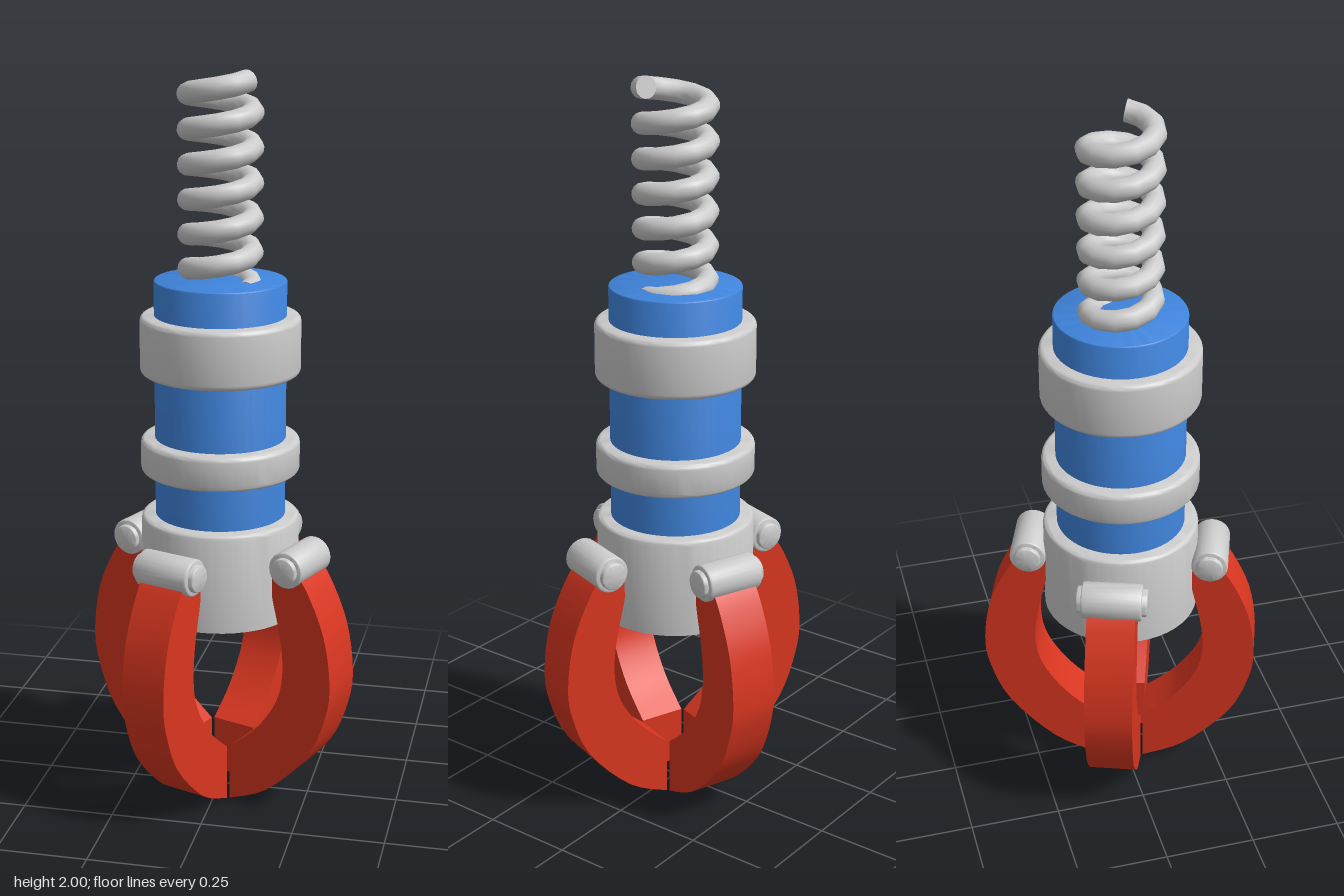
import * as THREE from 'three';
import { toCreasedNormals } from 'three/addons/utils/BufferGeometryUtils.js';

const grey = new THREE.MeshStandardMaterial({ color: 0xcccccc });
const blue = new THREE.MeshStandardMaterial({ color: 0x3f84dc });
const red = new THREE.MeshStandardMaterial({ color: 0xd93620 });

function addMesh(parent, name, geometry, material) {
  const mesh = new THREE.Mesh(geometry, material);
  mesh.name = name;
  parent.add(mesh);
  return mesh;
}

// Solid round part from y0 to y1 with rounded rims (bottom bevel b0, top bevel b1)
function drum(radius, y0, y1, b0, b1, sides = 48) {
  const points = [[0, y0]];
  const rim = (bevel, y, dir) => {
    for (let i = 0; i <= 4; i++) {
      const a = (i / 4) * Math.PI / 2;
      const t = dir > 0 ? a : Math.PI / 2 - a;
      points.push([radius - bevel * (1 - Math.cos(t)), y - dir * bevel * (1 - Math.sin(t))]);
    }
  };
  if (b0) rim(b0, y0, -1); else points.push([radius, y0]);
  if (b1) rim(b1, y1, 1); else points.push([radius, y1]);
  points.push([0, y1]);
  return toCreasedNormals(
    new THREE.LatheGeometry(points.map(([x, y]) => new THREE.Vector2(x, y)), sides), 0.6);
}

// Coil, rising while turning from the front round to the right
class Helix extends THREE.Curve {
  getPoint(t, target = new THREE.Vector3()) {
    const angle = 0.4 + (1 - t) * 6 * Math.PI * 2;
    return target.set(0.084 * Math.cos(angle), 1.43 + 0.541 * t, 0.084 * Math.sin(angle));
  }
}

function addSpring(parent) {
  const helix = new Helix();
  const spring = new THREE.Group();
  spring.name = 'spring';
  parent.add(spring);
  addMesh(spring, 'coil', new THREE.TubeGeometry(helix, 72, 0.029, 14), grey);
  for (const t of [0, 1]) {
    const end = addMesh(spring, 'coilEnd', new THREE.CircleGeometry(0.029, 14), grey);
    const p = helix.getPoint(t);
    const outward = helix.getTangent(t).multiplyScalar(t ? 1 : -1);
    end.position.copy(p);
    end.lookAt(p.clone().add(outward));
  }
}

// Curved claw: a thick crescent in the radial plane, extruded sideways
function clawGeometry() {
  const toVectors = (list) => list.map(([x, y]) => new THREE.Vector2(x, y));
  const outer = toVectors([[0.07, 0.002], [0.19, 0.06], [0.315, 0.19], [0.37, 0.32],
    [0.381, 0.42], [0.36, 0.55], [0.308, 0.665], [0.265, 0.72]]);
  const inner = toVectors([[0.19, 0.7], [0.205, 0.62], [0.228, 0.52], [0.237, 0.42],
    [0.218, 0.33], [0.155, 0.235], [0.07, 0.16]]);
  const outline = [...new THREE.SplineCurve(outer).getPoints(28),
    ...new THREE.SplineCurve(inner).getPoints(24)];
  const geometry = new THREE.ExtrudeGeometry(new THREE.Shape(outline),
    { depth: 0.13, bevelEnabled: false });
  geometry.translate(0, 0, -0.065);
  return toCreasedNormals(geometry, 0.5);
}

export function createModel() {
  const model = new THREE.Group();
  model.name = 'clawArm';

  // Central body, collars and the socket that carries the claws
  addMesh(model, 'body', drum(0.175, 0.7, 1.455, 0, 0.004), blue);
  addMesh(model, 'upperCollar', drum(0.213, 1.205, 1.362, 0.015, 0.015), grey);
  addMesh(model, 'lowerCollar', drum(0.213, 0.935, 1.03, 0.015, 0.015), grey);
  addMesh(model, 'clawSocket', drum(0.213, 0.545, 0.817, 0, 0.015), grey);
  addSpring(model);

  // Four claws, each on a hinge barrel with a narrower pin through it
  const claw = clawGeometry();
  const barrel = drum(0.05, -0.081, 0.081, 0.006, 0.006, 24).rotateX(Math.PI / 2);
  const pin = drum(0.037, -0.095, 0.095, 0.005, 0.005, 24).rotateX(Math.PI / 2);
  for (let i = 0; i < 4; i++) {
    const arm = new THREE.Group();
    arm.name = 'clawAssembly';
    arm.rotation.y = -THREE.MathUtils.degToRad(20 + 90 * i);
    addMesh(arm, 'claw', claw, red);
    addMesh(arm, 'hingeBarrel', barrel, grey).position.set(0.25, 0.717, 0);
    addMesh(arm, 'hingePin', pin, grey).position.set(0.25, 0.717, 0);
    model.add(arm);
  }
  return model;
}
